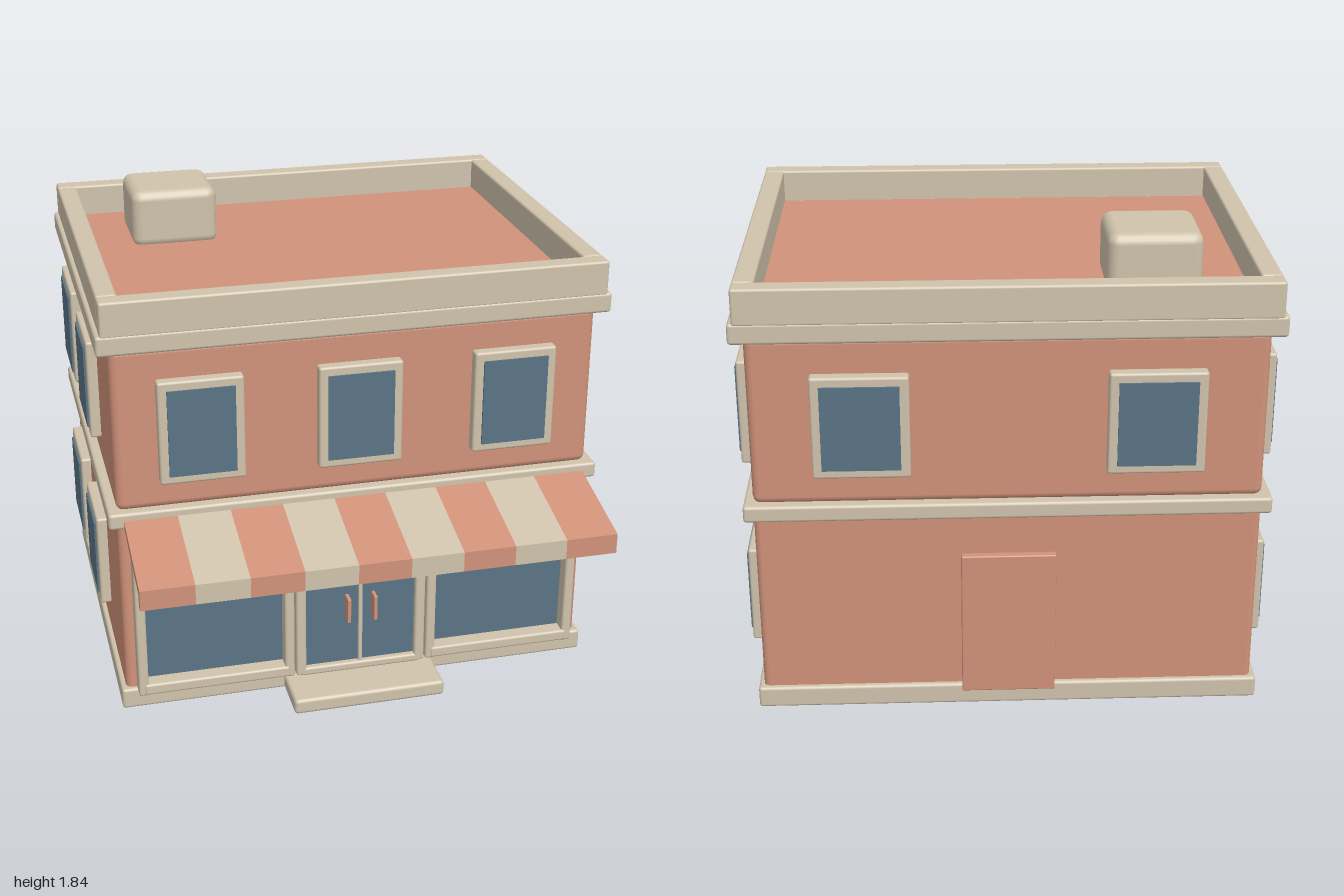
import * as THREE from 'three';
import { RoundedBoxGeometry } from 'three/addons/geometries/RoundedBoxGeometry.js';

const mat = (name, color) => {
  const m = new THREE.MeshStandardMaterial({ color });
  m.name = name;
  return m;
};

export function createModel() {
  const brick = mat('terracotta', 0xd0927a);
  const cream = mat('cream trim', 0xd0c3ac);
  const glass = mat('window glass', 0x5b7485);
  const model = new THREE.Group();
  model.name = 'shopBuilding';

  // Box given by its extents; r > 0 softens the edges
  function box(name, material, [x0, x1], [y0, y1], [z0, z1], r = 0.01, parent = model) {
    const w = x1 - x0, h = y1 - y0, d = z1 - z0;
    const geo = r > 0 ? new RoundedBoxGeometry(w, h, d, 2, r) : new THREE.BoxGeometry(w, h, d);
    const mesh = new THREE.Mesh(geo, material);
    mesh.position.set((x0 + x1) / 2, (y0 + y1) / 2, (z0 + z1) / 2);
    mesh.name = name;
    parent.add(mesh);
    return mesh;
  }

  // Walls, plinth and bands
  box('lowerStorey', brick, [-0.95, 0.95], [0.05, 0.85], [-0.91, 0.55], 0.025);
  box('upperStorey', brick, [-0.95, 0.95], [0.875, 1.54], [-0.91, 0.55], 0.03);
  box('plinth', cream, [-0.97, 0.97], [0, 0.087], [-0.93, 0.57], 0.012);
  box('frontStep', cream, [-0.31, 0.31], [0, 0.065], [0.56, 0.775], 0.015);
  box('middleBand', cream, [-0.985, 0.985], [0.815, 0.88], [-0.94, 0.58], 0.012);
  box('cornice', cream, [-0.998, 0.998], [1.53, 1.61], [-0.955, 0.59], 0.012);

  // Roof with parapet and rooftop unit
  box('roof', brick, [-0.9, 0.9], [1.58, 1.616], [-0.865, 0.49], 0);
  box('frontParapet', cream, [-0.98, 0.98], [1.6, 1.74], [0.51, 0.588]);
  box('backParapet', cream, [-0.98, 0.98], [1.6, 1.74], [-0.955, -0.877]);
  for (const s of [-1, 1]) {
    box('sideParapet', cream, s > 0 ? [0.9, 0.98] : [-0.98, -0.9], [1.6, 1.74], [-0.875, 0.51]);
  }
  box('rooftopUnit', cream, [-0.72, -0.367], [1.6, 1.84], [-0.715, -0.385], 0.04);

  // Window facing +z on its own origin, then turned to its wall
  function addWindow(name, x, y, z, turn, w, h) {
    const g = new THREE.Group();
    g.name = name;
    const b = 0.035;
    box('windowFrame', cream, [-w / 2, w / 2], [-h / 2, h / 2], [-0.01, 0.042], 0.01, g);
    box('windowPane', glass, [-w / 2 + b, w / 2 - b], [-h / 2 + b, h / 2 - b], [0.04, 0.05], 0, g);
    g.position.set(x, y, z);
    g.rotation.y = turn;
    model.add(g);
  }
  for (const x of [-0.617, 0, 0.617]) addWindow('frontWindow', x, 1.2, 0.55, 0, 0.33, 0.42);
  for (const x of [-0.54, 0.54]) addWindow('backWindow', x, 1.2, -0.915, Math.PI, 0.36, 0.4);
  for (const s of [-1, 1]) {
    for (const z of [-0.055, -0.63]) {
      addWindow('upperSideWindow', s * 0.95, 1.204, z, s * Math.PI / 2, 0.36, 0.41);
      addWindow('lowerSideWindow', s * 0.95, 0.433, z, s * Math.PI / 2, 0.36, 0.395);
    }
  }

  // Shop front: display windows either side of the double door
  const depth = [0.545, 0.62];
  for (const s of [-1, 1]) {
    const span = (a, b) => (s > 0 ? [a, b] : [-b, -a]);
    box('displayPane', glass, span(0.29, 0.88), [0.1, 0.73], [0.545, 0.562], 0);
    box('outerJamb', cream, span(0.868, 0.908), [0.08, 0.75], depth);
    box('innerJamb', cream, span(0.274, 0.314), [0.08, 0.75], depth);
    box('displaySill', cream, span(0.295, 0.885), [0.085, 0.132], [0.545, 0.625]);
    box('displayHeader', cream, span(0.295, 0.885), [0.71, 0.75], depth);
    box('doorJamb', cream, span(0.226, 0.268), [0.08, 0.75], depth);
    box('doorHandle', brick, span(0.047, 0.062), [0.31, 0.42], [0.59, 0.643], 0.004);
  }
  box('doorPane', glass, [-0.24, 0.24], [0.09, 0.73], [0.545, 0.595], 0);
  box('doorMullion', cream, [-0.008, 0.008], [0.1, 0.72], [0.58, 0.61], 0.003);
  box('doorBottomRail', cream, [-0.25, 0.25], [0.075, 0.11], depth);
  box('doorHeader', cream, [-0.25, 0.25], [0.71, 0.75], depth);

  // Plain rear door
  box('rearDoor', brick, [-0.18, 0.18], [0.06, 0.655], [-0.938, -0.9], 0.006);

  // Striped awning: one slope-and-valance section extruded per stripe
  const section = new THREE.Shape([
    [-0.56, 0.854], [-0.56, 0.82], [-0.935, 0.73], [-0.935, 0.68], [-0.966, 0.68], [-0.966, 0.762],
  ].map(([x, y]) => new THREE.Vector2(x, y)));
  const stripes = 9, stripeWidth = 1.854 / stripes;
  const stripeGeo = new THREE.ExtrudeGeometry(section, { depth: stripeWidth, bevelEnabled: false });
  stripeGeo.rotateY(Math.PI / 2);
  const awning = new THREE.Group();
  awning.name = 'awning';
  for (let i = 0; i < stripes; i++) {
    const stripe = new THREE.Mesh(stripeGeo, i % 2 ? cream : brick);
    stripe.name = 'awningStripe';
    stripe.position.x = -0.927 + i * stripeWidth;
    awning.add(stripe);
  }
  model.add(awning);
  return model;
}
